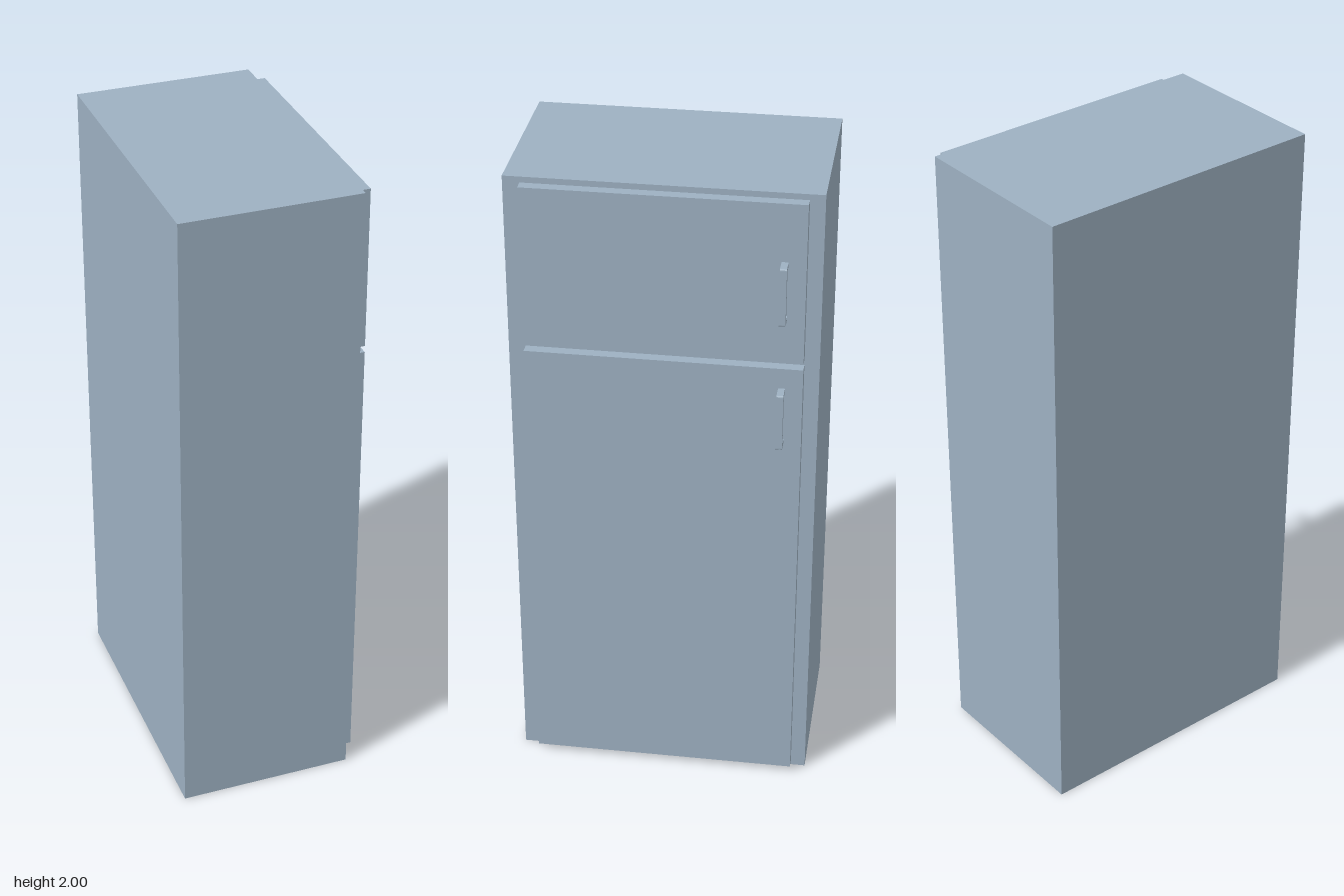
import * as THREE from 'three';

const steel = new THREE.MeshStandardMaterial({ color: 0x9db0c1 });
steel.name = 'blue grey enamel';

// Box given by its lower and upper corners
function block(name, [x0, y0, z0], [x1, y1, z1]) {
  const geometry = new THREE.BoxGeometry(x1 - x0, y1 - y0, z1 - z0);
  geometry.translate((x0 + x1) / 2, (y0 + y1) / 2, (z0 + z1) / 2);
  const mesh = new THREE.Mesh(geometry, steel);
  mesh.name = name;
  return mesh;
}

// Bracket-shaped pull with softened outer corners, standing off the door
function handle(name, y0, y1) {
  const inner = 0.266, outer = 0.312, bar = 0.017, arm = 0.012, r = 0.006;
  const s = new THREE.Shape();
  s.moveTo(inner, y0);
  s.lineTo(outer - r, y0);
  s.quadraticCurveTo(outer, y0, outer, y0 + r);
  s.lineTo(outer, y1 - r);
  s.quadraticCurveTo(outer, y1, outer - r, y1);
  s.lineTo(inner, y1);
  s.lineTo(inner, y1 - arm);
  s.lineTo(outer - bar, y1 - arm);
  s.lineTo(outer - bar, y0 + arm);
  s.lineTo(inner, y0 + arm);
  s.closePath();
  const geometry = new THREE.ExtrudeGeometry(s, { depth: 0.02, bevelEnabled: false, curveSegments: 4 });
  geometry.translate(0, 0, -0.36);
  const mesh = new THREE.Mesh(geometry, steel);
  mesh.name = name;
  return mesh;
}

export function createModel() {
  const fridge = new THREE.Group();
  fridge.name = 'refrigerator';
  fridge.add(
    block('cabinet', [-0.314, 0, -0.455], [0.229, 2, 0.455]),
    // Doors sit a hair in front of the cabinet
    block('freezerDoor', [0.233, 1.486, -0.411], [0.266, 1.984, 0.404]),
    block('fridgeDoor', [0.233, 0.02, -0.411], [0.266, 1.466, 0.404]),
    handle('freezerHandle', 1.626, 1.806),
    handle('fridgeHandle', 1.222, 1.402)
  );
  return fridge;
}
